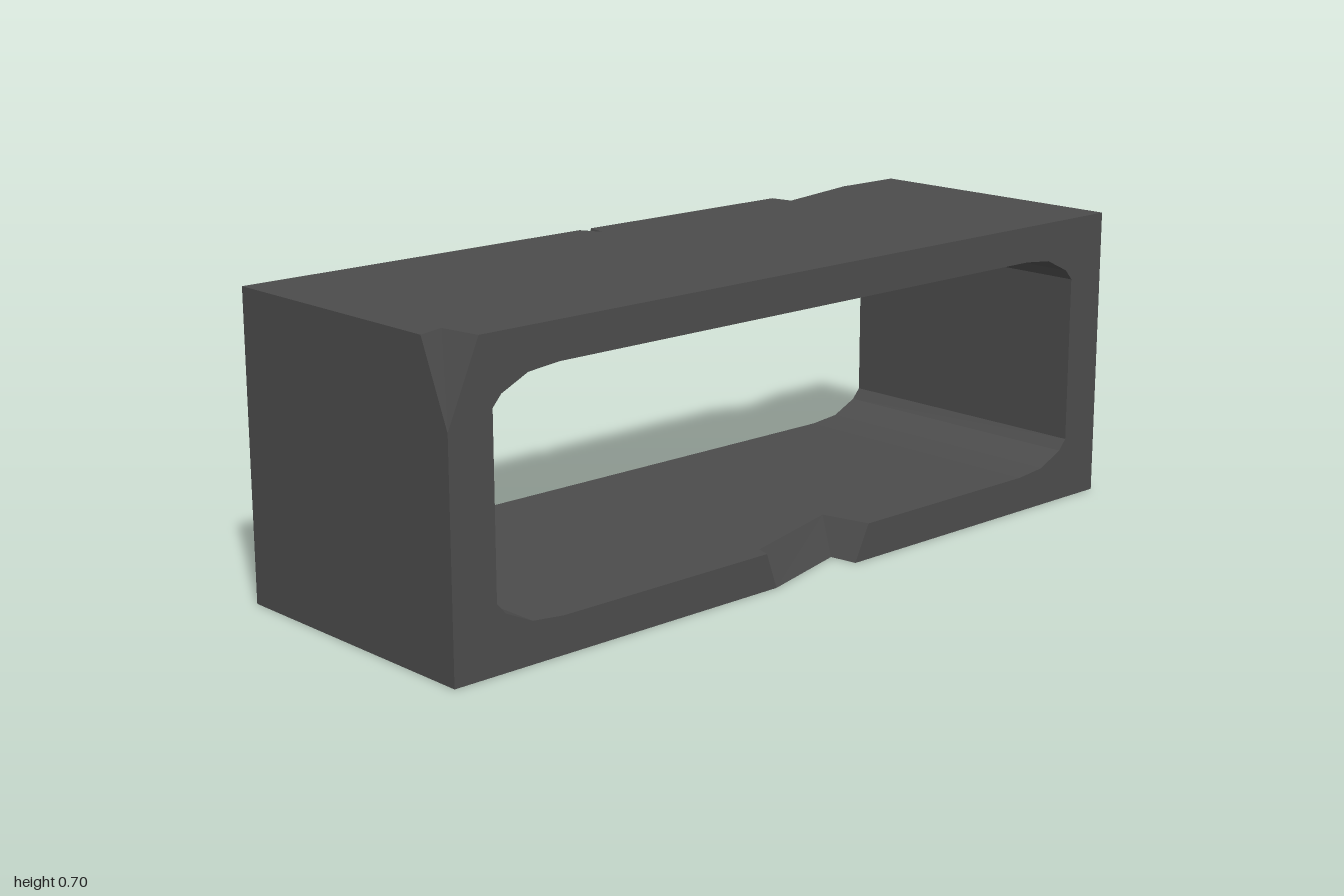
import * as THREE from 'three';

const W = 1, H = 0.7, D = 0.347;

// Collects flat polygons; each is triangulated in the plane facing its normal.
function polygonBuilder() {
  const positions = [];
  return {
    add(points, normal, holes = []) {
      const n = new THREE.Vector3(...normal).normalize();
      const size = normal.map(Math.abs);
      const drop = size.indexOf(Math.max(...size));
      const flat = (p) => new THREE.Vector2(...p.filter((_, i) => i !== drop));
      const all = [...points, ...holes.flat()].map((p) => new THREE.Vector3(...p));
      const tris = THREE.ShapeUtils.triangulateShape(points.map(flat), holes.map((h) => h.map(flat)));
      for (const [a, b, c] of tris) {
        const t = [all[a], all[b], all[c]];
        const facing = t[1].clone().sub(t[0]).cross(t[2].clone().sub(t[0])).dot(n);
        if (facing < 0) t.reverse();
        t.forEach((v) => positions.push(v.x, v.y, v.z));
      }
    },
    geometry() {
      const g = new THREE.BufferGeometry();
      g.setAttribute('position', new THREE.Float32BufferAttribute(positions, 3));
      g.computeVertexNormals();
      return g;
    },
  };
}

export function createModel() {
  const group = new THREE.Group();
  group.name = 'hollowBlock';
  const concrete = new THREE.MeshStandardMaterial({ color: 0x4c4c4c });
  concrete.name = 'dark concrete';

  // Opening outline, counterclockwise from the right end of the floor
  const corner = [[0.72, 0.265], [0.8, 0.257], [0.868, 0.225], [0.89, 0.2]];
  const rev = [...corner].reverse();
  const opening = [
    ...corner.map(([x, y]) => [x, 0.35 - y]),
    ...rev.map(([x, y]) => [x, 0.35 + y]),
    ...corner.map(([x, y]) => [-x, 0.35 + y]),
    ...rev.map(([x, y]) => [-x, 0.35 - y]),
  ];
  const at = (z) => ([x, y]) => [x, y, z];

  // Corner chip: left end, top edge, front edge
  const P = [-W, H, 0.27], Q = [-0.935, H, 0.25], R = [-0.92, H, D], S = [-W, 0.52, D];
  // Notch through the front of the lower slab: underside and floor points
  const b0 = [-0.11, 0, D], b1 = [0.134, 0, 0.279], b2 = [0.143, 0, D];
  const f0 = [-0.14, 0.085, D], f1 = [-0.13, 0.085, 0.312], f2 = [0.157, 0.085, 0.228], f3 = [0.185, 0.085, D];
  // Chips along the top back edge: right end, inner point, left end, lower point
  const chips = [
    [[0.82, H, -D], [0.57, H, -0.29], [0.56, H, -D], [0.675, 0.65, -D]],
    [[-0.04, H, -D], [-0.05, H, -0.295], [-0.075, H, -D], [-0.048, 0.667, -D]],
  ];

  // Outer faces
  const shell = polygonBuilder();
  shell.add([[W, 0, D], [W, 0, -D], [W, H, -D], [W, H, D]], [1, 0, 0]);
  shell.add([[-W, 0, -D], [-W, 0, D], S, P, [-W, H, -D]], [-1, 0, 0]);
  shell.add([[-W, 0, -D], [W, 0, -D], [W, 0, D], b2, b1, b0, [-W, 0, D]], [0, -1, 0]);
  shell.add([P, Q, R, [W, H, D], [W, H, -D],
    ...chips.flatMap(([a, i, c]) => [a, i, c]), [-W, H, -D]], [0, 1, 0]);
  shell.add([[-W, 0, D], b0, f0, ...[...opening].reverse().map(at(D)), f3, b2,
    [W, 0, D], [W, H, D], R, S], [0, 0, 1]);
  shell.add([[-W, 0, -D], [W, 0, -D], [W, H, -D],
    ...chips.flatMap(([a, , c, d]) => [a, d, c]), [-W, H, -D]], [0, 0, -1], [opening.map(at(-D))]);

  // Opening walls, with the notched floor last
  const lining = polygonBuilder();
  for (let i = 0; i < opening.length - 1; i++) {
    const [a, b] = [opening[i], opening[i + 1]];
    lining.add([at(D)(a), at(D)(b), at(-D)(b), at(-D)(a)], [a[1] - b[1], b[0] - a[0], 0]);
  }
  lining.add([[-0.72, 0.085, -D], [0.72, 0.085, -D], [0.72, 0.085, D], f3, f2, f1, f0,
    [-0.72, 0.085, D]], [0, 1, 0]);

  // Broken surfaces
  const breaks = polygonBuilder();
  breaks.add([S, R, Q], [-0.8, 0.5, 0.9]);
  breaks.add([S, Q, P], [-0.5, 0.5, 0.9]);
  breaks.add([b0, f0, f1], [1, 0, 0.3]);
  breaks.add([b0, f1, f2], [0.3, 0, 1]);
  breaks.add([b0, f2, b1], [0.3, 0, 1]);
  breaks.add([b1, f2, f3], [-1, 0, 0.3]);
  breaks.add([b1, f3, b2], [-1, 0, 0.3]);
  for (const [a, i, c, d] of chips) {
    breaks.add([a, i, d], [-0.2, 1, -0.9]);
    breaks.add([i, c, d], [1, 0.9, -0.2]);
  }

  for (const [name, part] of Object.entries({ outerShell: shell, openingWalls: lining, chippedEdges: breaks })) {
    const mesh = new THREE.Mesh(part.geometry(), concrete);
    mesh.name = name;
    group.add(mesh);
  }
  return group;
}
